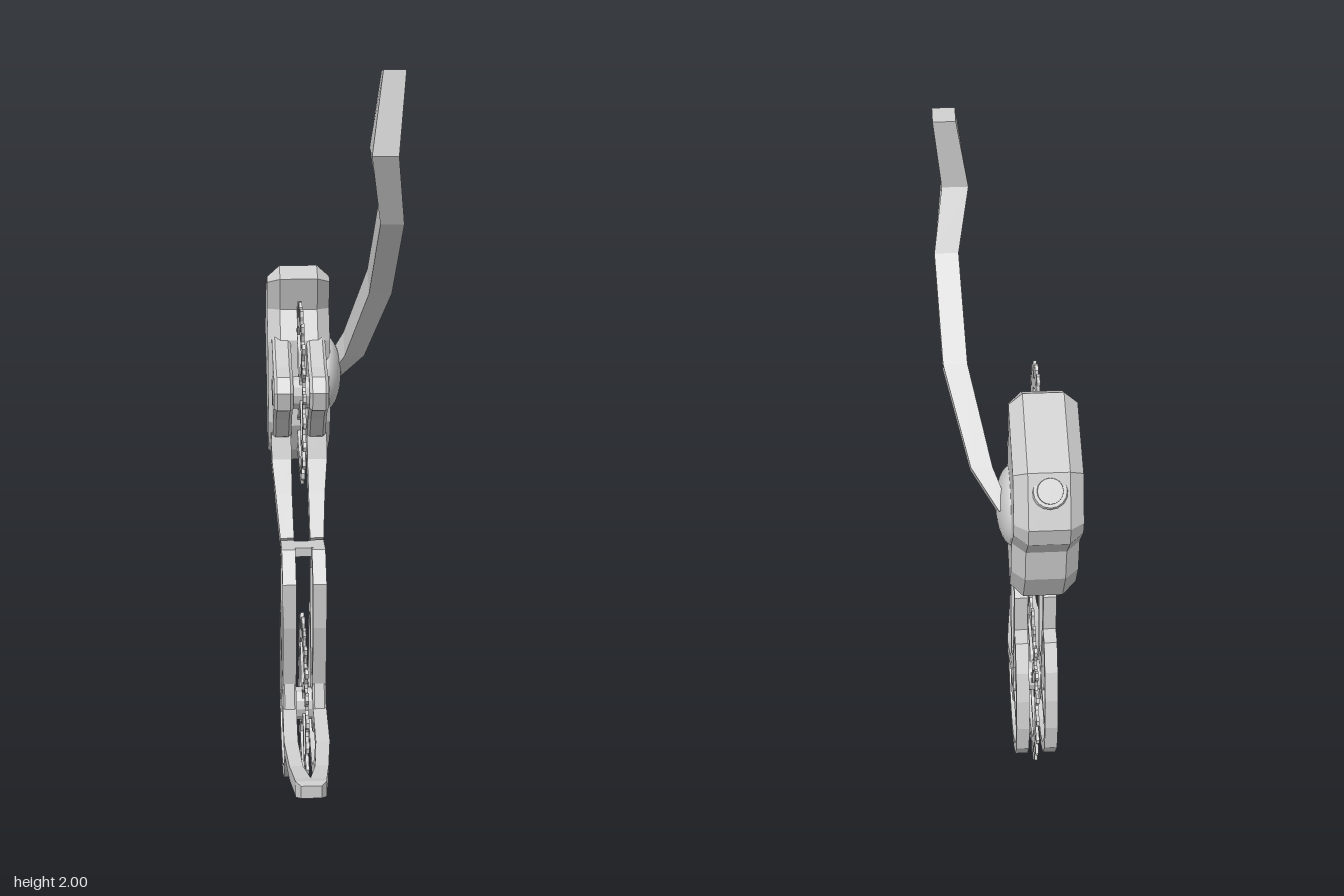
import * as THREE from 'three';

const mat = new THREE.MeshStandardMaterial({ color: 0xcccccc, flatShading: true });
const smooth = new THREE.MeshStandardMaterial({ color: 0xcccccc });
const MID = -0.088; // x of the central plane shared by both cogs

function add(parent, name, geo, material = mat) {
  const m = new THREE.Mesh(geo, material);
  m.name = name;
  parent.add(m);
  return m;
}

// Plate from a [z, y] outline, centred on x, with chamfered rims
function slab(pts, x, thick, bevel = 0, holes = []) {
  const toV = (p) => new THREE.Vector2(p[0], p[1]);
  const shape = new THREE.Shape(pts.map(toV));
  holes.forEach((h) => shape.holes.push(new THREE.Path(h.map(toV))));
  const depth = thick - 2 * bevel;
  const g = new THREE.ExtrudeGeometry(shape, {
    depth, bevelEnabled: bevel > 0, bevelThickness: bevel, bevelSize: bevel * 0.8,
    bevelOffset: -bevel * 0.8, bevelSegments: 1,
  });
  g.translate(0, 0, -depth / 2);
  g.rotateY(-Math.PI / 2);
  g.translate(x, 0, 0);
  return g;
}

// Rectangular bar swept through stations [x, y, z, width in the side plane, thickness along x]
function bar(st, closed = false) {
  const pos = [], idx = [], n = st.length;
  st.forEach(([x, y, z, w, t], i) => {
    const a = closed ? st[(i + n - 1) % n] : st[Math.max(i - 1, 0)];
    const b = closed ? st[(i + 1) % n] : st[Math.min(i + 1, n - 1)];
    const l = Math.hypot(b[2] - a[2], b[1] - a[1]) || 1;
    const nz = (-(b[1] - a[1]) / l) * (w / 2), ny = ((b[2] - a[2]) / l) * (w / 2);
    for (const [s, u] of [[1, 1], [1, -1], [-1, -1], [-1, 1]])
      pos.push(x + (u * t) / 2, y + s * ny, z + s * nz);
  });
  for (let i = 0; i < (closed ? n : n - 1); i++)
    for (let k = 0; k < 4; k++) {
      const a = i * 4 + k, b = i * 4 + ((k + 1) % 4), j = ((i + 1) % n) * 4;
      const c = j + ((k + 1) % 4), d = j + k;
      idx.push(a, b, c, a, c, d);
    }
  if (!closed) {
    const e = (n - 1) * 4;
    idx.push(0, 2, 1, 0, 3, 2, e, e + 1, e + 2, e, e + 2, e + 3);
  }
  const g = new THREE.BufferGeometry();
  g.setAttribute('position', new THREE.Float32BufferAttribute(pos, 3));
  g.setIndex(idx);
  const out = g.toNonIndexed();
  out.computeVertexNormals();
  return out;
}

// Thin toothed ring with four wavy spokes and a hub
function cog(name, z, y, r) {
  const g = new THREE.Group();
  g.name = name;
  const polar = (rad, a) => [rad * Math.cos(a), rad * Math.sin(a)];
  const teeth = 22, step = (Math.PI * 2) / teeth, outline = [], hole = [];
  for (let i = 0; i < teeth; i++) {
    for (const [f, k] of [[-0.5, 0.81], [-0.3, 0.83], [-0.2, 0.89], [-0.21, 0.95], [-0.1, 1],
      [0.1, 1], [0.21, 0.95], [0.2, 0.89], [0.3, 0.83]])
      outline.push(polar(r * k, Math.PI / 2 + (i + f) * step));
  }
  for (let i = 0; i < 44; i++) hole.push(polar(r * 0.72, (-i * Math.PI * 2) / 44));
  add(g, 'toothedRing', slab(outline, 0, 0.009, 0, [hole]));
  for (let q = 0; q < 4; q++) {
    const a = Math.PI / 4 + (q * Math.PI) / 2, pts = [];
    for (let i = 0; i <= 10; i++) {
      const d = 0.03 + (i / 10) * (r * 0.74 - 0.03);
      const s = 0.018 * Math.sin((i / 10) * Math.PI * 2);
      pts.push([0, d * Math.sin(a) + s * Math.cos(a), d * Math.cos(a) - s * Math.sin(a), 0.022, 0.009]);
    }
    add(g, 'spoke', bar(pts));
  }
  const hub = add(g, 'cogHub', new THREE.CylinderGeometry(0.045, 0.045, 0.06, 12));
  hub.rotation.z = Math.PI / 2;
  g.position.set(MID, y, z);
  return g;
}

export function createModel() {
  const root = new THREE.Group();
  root.name = 'gearChanger';

  // Chamfered main housing
  add(root, 'housing', slab([[-0.18, 1.41], [-0.235, 1.44], [-0.445, 1.345], [-0.5, 1.21], [-0.485, 1.155],
    [-0.405, 1.07], [-0.39, 0.97], [-0.32, 0.86], [-0.2, 0.92], [-0.155, 1.0], [-0.17, 1.24], [-0.21, 1.32]],
  -0.086, 0.174, 0.035));

  // Adjuster ring on the back of the housing
  const adjuster = new THREE.Group();
  adjuster.name = 'adjuster';
  add(adjuster, 'adjusterRing', new THREE.TorusGeometry(0.037, 0.009, 6, 16));
  const plug = add(adjuster, 'adjusterPlug', new THREE.CylinderGeometry(0.032, 0.036, 0.03, 16));
  plug.rotation.x = Math.PI / 2;
  adjuster.position.set(MID, 1.3, -0.458);
  adjuster.lookAt(MID, 1.3 + 0.55, -0.458 - 0.83);
  root.add(adjuster);

  // Domed pivot and the long lever rising from it
  const dome = add(root, 'pivotDome', new THREE.SphereGeometry(0.105, 32, 20), smooth);
  dome.scale.x = 0.42;
  dome.position.set(-0.008, 1.125, -0.275);
  add(root, 'lever', bar([[0.015, 1.13, -0.31, 0.07, 0.03], [0.07, 1.215, -0.235, 0.085, 0.055],
    [0.128, 1.42, -0.07, 0.085, 0.062], [0.14, 1.63, 0.135, 0.08, 0.062],
    [0.113, 1.795, 0.223, 0.085, 0.068], [0.138, 1.995, 0.197, 0.065, 0.058]]));

  root.add(cog('upperCog', -0.045, 1.12, 0.25), cog('lowerCog', 0.05, 0.253, 0.253));

  // Paired parts on either side of the cogs
  for (const s of [-1, 1]) {
    const X = (o) => MID + s * o;
    const side = new THREE.Group();
    side.name = s > 0 ? 'leftSide' : 'rightSide';
    root.add(side);

    add(side, 'cogArm', slab([[-0.24, 1.27], [-0.17, 1.24], [-0.07, 1.185], [-0.01, 1.17], [0.018, 1.13],
      [0.005, 1.08], [-0.05, 1.065], [-0.1, 1.03], [-0.155, 0.97], [-0.24, 0.93]], X(0.048), 0.052, 0.008));
    const axle = add(side, 'axleCap', new THREE.CylinderGeometry(0.04, 0.04, 0.06, 16));
    axle.rotation.z = Math.PI / 2;
    axle.position.set(X(0.048), 1.125, -0.045);

    // Link from the housing to the cage
    add(side, 'link', bar([[X(0.05), 0.97, -0.2, 0.07, 0.055], [X(0.05), 0.89, -0.18, 0.075, 0.055],
      [X(0.046), 0.8, -0.125, 0.065, 0.046], [X(0.041), 0.7, -0.02, 0.05, 0.038]]));

    // Upper cage loop
    const loop = [[0.085, 0.7], [0.012, 0.7], [-0.037, 0.63], [-0.033, 0.51], [0.012, 0.33],
      [0.088, 0.33], [0.128, 0.51], [0.136, 0.63]];
    add(side, 'cageLoop', bar(loop.map(([z, y]) => [X(0.041), y, z, 0.033, 0.037]), true));

    // Star-shaped hub plate
    add(side, 'hubPlate', slab([[0.1, 0.345], [0, 0.345], [-0.035, 0.275], [0.005, 0.19], [0.025, 0.175],
      [0.075, 0.175], [0.095, 0.19], [0.13, 0.25]], X(0.041), 0.037, 0.005));

    // Curved lower guard
    const guard = [[-0.03, 0.505], [-0.085, 0.49], [-0.125, 0.42], [-0.152, 0.34], [-0.163, 0.25],
      [-0.15, 0.165], [-0.1, 0.1], [-0.03, 0.067], [0.05, 0.06], [0.12, 0.08], [0.18, 0.125], [0.25, 0.2]];
    add(side, 'guard', bar(guard.map(([z, y]) => [X(0.041), y, z, 0.03, 0.037])));
    add(side, 'guardSpoke', bar([[X(0.041), 0.255, -0.01, 0.03, 0.034], [X(0.041), 0.2, -0.155, 0.025, 0.034]]));

    // Tail sweeping forward to meet at the tip
    add(side, 'tail', bar([[X(0.041), 0.26, 0.09, 0.035, 0.037], [X(0.043), 0.205, 0.24, 0.035, 0.038],
      [X(0.034), 0.182, 0.36, 0.04, 0.036], [X(0.021), 0.186, 0.45, 0.04, 0.043],
      [X(0.02), 0.19, 0.48, 0.042, 0.042], [X(0.013), 0.19, 0.5, 0.034, 0.028]]));
  }

  // Bridges joining the two sides
  const bridge = add(root, 'cageBridge', new THREE.BoxGeometry(0.06, 0.025, 0.065));
  bridge.position.set(MID, 0.702, 0.045);
  const axle = add(root, 'lowerAxle', new THREE.CylinderGeometry(0.04, 0.04, 0.12, 12));
  axle.rotation.z = Math.PI / 2;
  axle.position.set(MID, 0.26, 0.05);

  return root;
}
